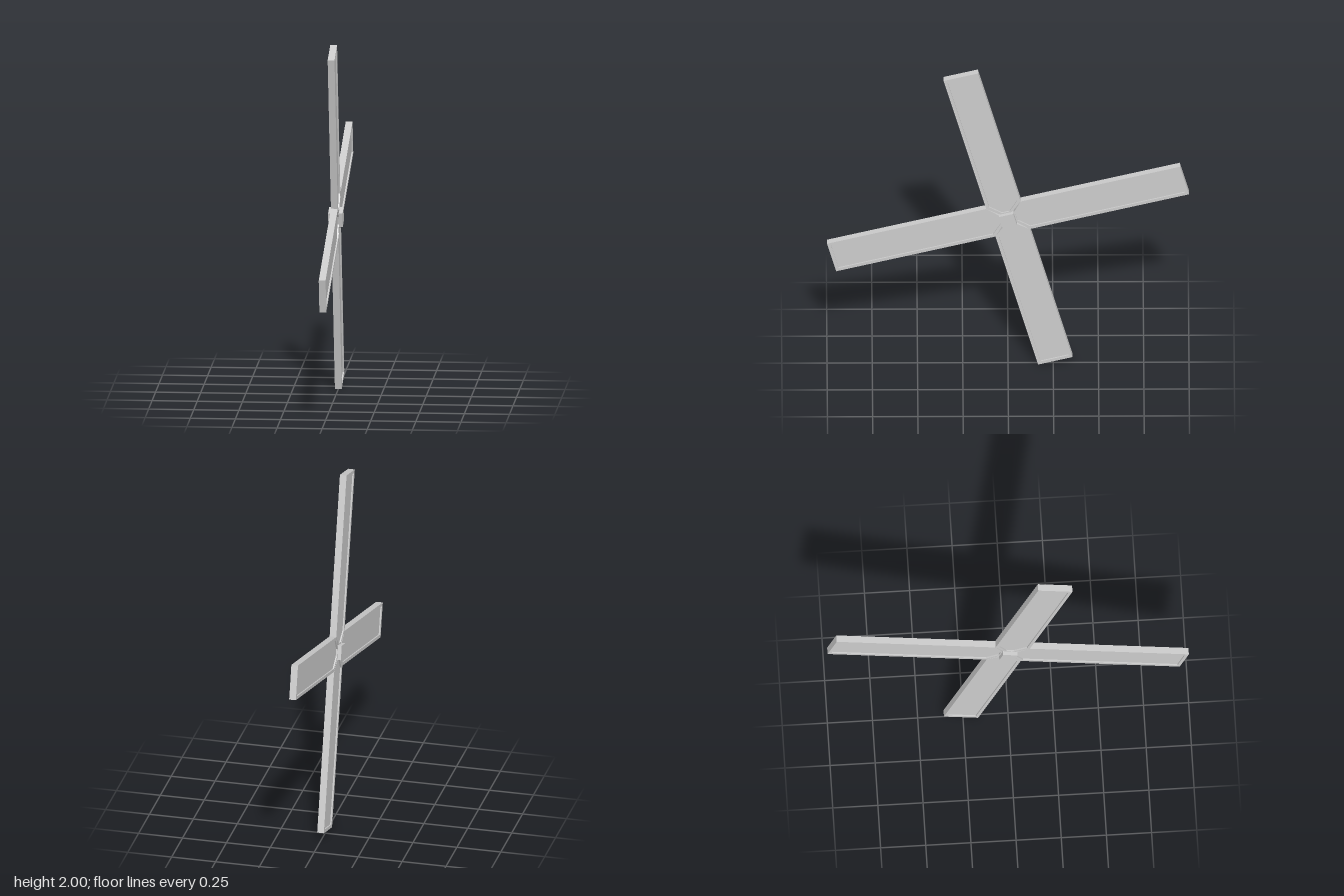
import * as THREE from 'three';

const LENGTH = 1.009;
const HALF_WIDTH = 0.098;
const TILT = THREE.MathUtils.degToRad(15);

// Blade outline: straight sides, square tip, tapered root at the hub
const outline = (halfWidth, tip, shoulder, rootHalf, root) => [
  [-rootHalf, root], [rootHalf, root], [halfWidth, shoulder],
  [halfWidth, tip], [-halfWidth, tip], [-halfWidth, shoulder],
].map(([x, y]) => new THREE.Vector2(x, y));

function slab(shape, thickness) {
  const geometry = new THREE.ExtrudeGeometry(shape, { depth: thickness, bevelEnabled: false });
  return geometry.translate(0, 0, -thickness / 2);
}

export function createModel() {
  const model = new THREE.Group();
  model.name = 'fourBladeRotor';
  const material = new THREE.MeshStandardMaterial({ color: 0xcccccc, flatShading: true });

  const outer = outline(HALF_WIDTH, LENGTH, 0.098, 0.028, 0.036);
  const inner = outline(HALF_WIDTH - 0.018, LENGTH - 0.018, 0.106, 0.022, 0.048);

  // Raised rim around each blade
  const frameShape = new THREE.Shape(outer);
  frameShape.holes.push(new THREE.Path(inner));
  const frameGeometry = slab(frameShape, 0.038);

  // Recessed panel inside the rim
  const panelGeometry = slab(new THREE.Shape(inner), 0.022);

  // The rotor is drawn in a plane, then turned so its axle runs along x
  const rotor = new THREE.Group();
  rotor.name = 'rotor';
  rotor.position.y = 1;
  rotor.rotation.set(0, Math.PI / 2, 0);
  model.add(rotor);

  const wheel = new THREE.Group();
  wheel.name = 'wheel';
  wheel.rotation.z = TILT;
  rotor.add(wheel);

  for (let i = 0; i < 4; i++) {
    const blade = new THREE.Group();
    blade.name = `blade${i + 1}`;
    const frame = new THREE.Mesh(frameGeometry, material);
    frame.name = 'bladeFrame';
    const panel = new THREE.Mesh(panelGeometry, material);
    panel.name = 'bladePanel';
    blade.add(frame, panel);
    blade.rotation.z = i * Math.PI / 2;
    wheel.add(blade);
  }

  // Square axle block
  const hub = new THREE.Mesh(new THREE.BoxGeometry(0.082, 0.082, 0.08), material);
  hub.name = 'hub';
  wheel.add(hub);

  return model;
}
